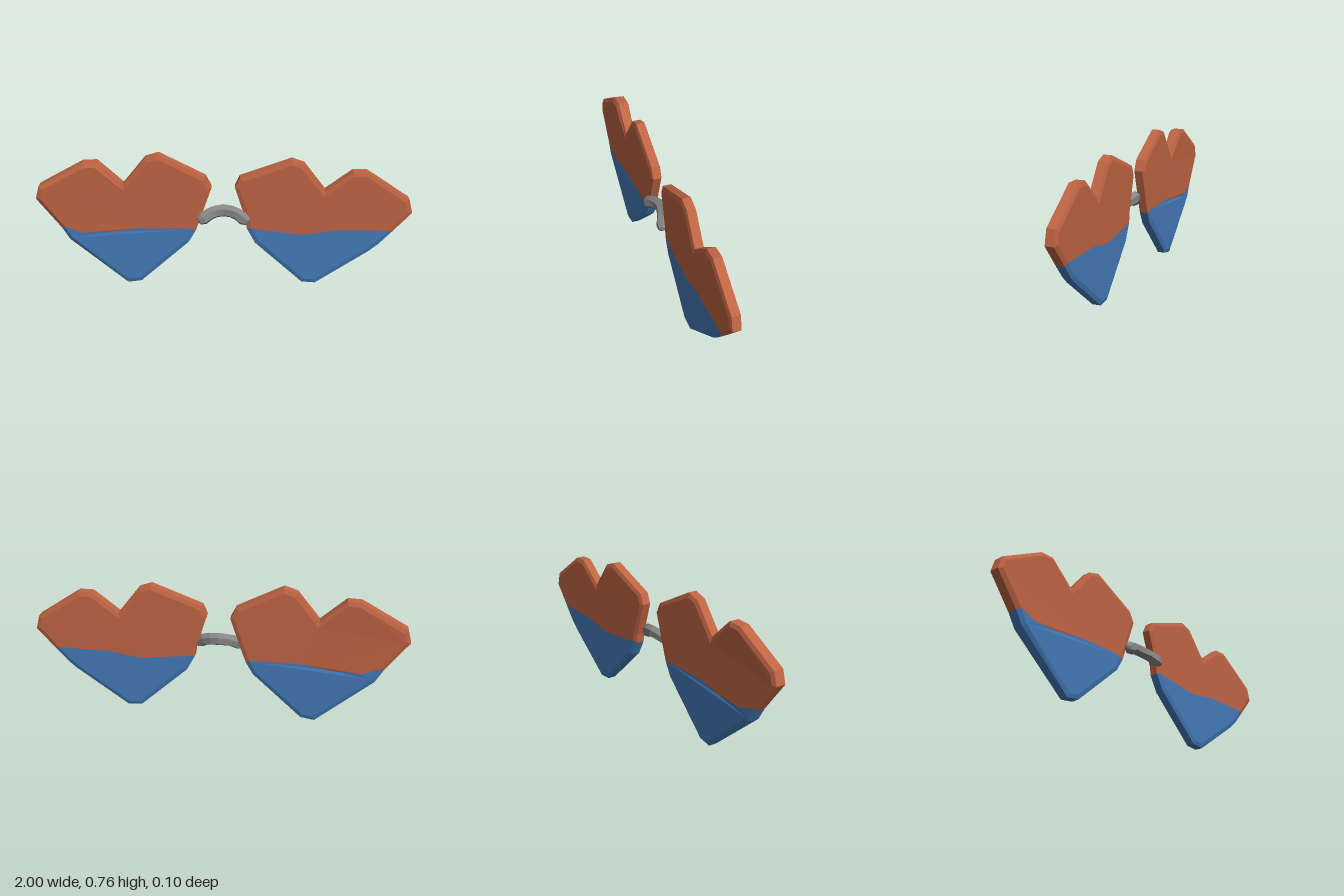
import * as THREE from 'three';

const orange = new THREE.MeshStandardMaterial({ color: 0xbf6443 });
orange.name = 'terracotta';
const blue = new THREE.MeshStandardMaterial({ color: 0x447ab8 });
blue.name = 'blue';
const grey = new THREE.MeshStandardMaterial({ color: 0x868686 });
grey.name = 'grey';

// Unindexed triangles give faceted normals
function facetedMesh(triangles, material, name) {
  const geometry = new THREE.BufferGeometry().setFromPoints(triangles);
  geometry.computeVertexNormals();
  const mesh = new THREE.Mesh(geometry, material);
  mesh.name = name;
  return mesh;
}

const quad = (out, a, b, c, d) => out.push(a, b, c, a, c, d);

// Mitred inset of a counter-clockwise outline
function insetOutline(points, amount) {
  const n = points.length;
  const normal = (a, b) => new THREE.Vector2(a.y - b.y, b.x - a.x).normalize();
  return points.map((p, i) => {
    const n1 = normal(points[(i + n - 1) % n], p);
    const n2 = normal(p, points[(i + 1) % n]);
    return n1.clone().add(n2).multiplyScalar(amount / (1 + n1.dot(n2))).add(p);
  });
}

// One colour of a bevelled heart plate: rim strip plus front and back faces
function platePart(outer, inner, seam, swell, material, name) {
  const out = [];
  const at = (p, z) => new THREE.Vector3(p.x, p.y, z);
  const front = p => at(p, 0.014 + 0.006 * swell(p));
  const back = p => at(p, -0.046 - 0.008 * swell(p));
  const rings = [
    inner.map(front),
    outer.map(p => at(p, 0.007)),
    outer.map(p => at(p, -0.038 - 0.008 * swell(p))),
    inner.map(back),
  ];
  for (let r = 0; r < 3; r++)
    for (let i = 0; i < outer.length - 1; i++)
      quad(out, rings[r][i], rings[r + 1][i], rings[r + 1][i + 1], rings[r][i + 1]);
  const face = [...inner, ...seam];
  for (const [a, b, c] of THREE.ShapeUtils.triangulateShape(face, [])) {
    out.push(front(face[a]), front(face[b]), front(face[c]));
    out.push(back(face[a]), back(face[c]), back(face[b]));
  }
  return facetedMesh(out, material, name);
}

// lower runs left to right under the seam, upper returns right to left above it
function heart(name, lower, upper, seam, swell) {
  const vec = list => list.map(([x, y]) => new THREE.Vector2(x, y));
  const outer = vec([...lower, ...upper]);
  const inner = insetOutline(outer, 0.022);
  const line = vec(seam);
  const k = lower.length - 1;
  const low = a => a.slice(0, k + 1);
  const high = a => [...a.slice(k), a[0]];
  const group = new THREE.Group();
  group.name = name;
  group.add(
    platePart(low(outer), low(inner), [...line].reverse(), swell, blue, 'lowerHalf'),
    platePart(high(outer), high(inner), line, swell, orange, 'upperHalf'),
  );
  return group;
}

// Six-sided arched bar with rounded ends
function bridge() {
  const half = [ // x, y, z, radius
    [0.136, 0.394, 0.032, 0], [0.13, 0.397, 0.029, 0.022], [0.108, 0.408, 0.022, 0.035],
    [0.075, 0.43, 0.006, 0.035], [0.04, 0.44, -0.006, 0.035],
  ];
  const path = [
    ...half.map(([x, ...rest]) => [-x, ...rest]),
    [0, 0.444, -0.012, 0.036],
    ...[...half].reverse(),
  ];
  const centres = path.map(([x, y, z]) => new THREE.Vector3(x, y, z));
  const rings = path.map(([, , , radius], i) => {
    const tangent = centres[Math.min(i + 1, path.length - 1)].clone()
      .sub(centres[Math.max(i - 1, 0)]).normalize();
    const side = new THREE.Vector3(0, 0, 1).addScaledVector(tangent, -tangent.z).normalize();
    const up = side.clone().cross(tangent);
    return Array.from({ length: 6 }, (_, j) => {
      const a = j * Math.PI / 3 + Math.PI / 6;
      return centres[i].clone()
        .addScaledVector(side, radius * 0.85 * Math.cos(a))
        .addScaledVector(up, radius * Math.sin(a));
    });
  });
  const out = [];
  for (let i = 0; i < rings.length - 1; i++)
    for (let j = 0; j < 6; j++) {
      const k = (j + 1) % 6;
      quad(out, rings[i][j], rings[i + 1][j], rings[i + 1][k], rings[i][k]);
    }
  // Orient the surface outwards, whichever way the rings wind
  const mid = rings[5][0].clone().sub(centres[5]);
  const t = 5 * 36;
  const n = new THREE.Triangle(out[t], out[t + 1], out[t + 2]).getNormal(new THREE.Vector3());
  if (n.dot(mid) < 0)
    for (let i = 0; i < out.length; i += 3) [out[i + 1], out[i + 2]] = [out[i + 2], out[i + 1]];
  return facetedMesh(out, grey, 'bridge');
}

export function createModel() {
  const group = new THREE.Group();
  group.name = 'heartGlasses';
  group.add(
    heart('rightHeart',
      [[-0.875, 0.34], [-0.835, 0.27], [-0.53, 0.003], [-0.455, 0.015], [-0.19, 0.26], [-0.15, 0.33]],
      [[-0.125, 0.4], [-0.065, 0.58], [-0.095, 0.64], [-0.34, 0.767], [-0.41, 0.745], [-0.53, 0.595],
        [-0.665, 0.718], [-0.74, 0.715], [-0.98, 0.58], [-1, 0.51]],
      [[-0.765, 0.315], [-0.6, 0.32], [-0.46, 0.343], [-0.2, 0.345]],
      p => (p.x < -0.62 ? 1 : 0)),
    heart('leftHeart',
      [[0.125, 0.345], [0.17, 0.26], [0.43, 0.02], [0.505, 0.015], [0.79, 0.22], [0.835, 0.26], [0.897, 0.33]],
      [[1, 0.45], [0.98, 0.525], [0.75, 0.68], [0.675, 0.68], [0.535, 0.57], [0.42, 0.72],
        [0.355, 0.742], [0.085, 0.64], [0.06, 0.585], [0.118, 0.4]],
      [[0.17, 0.345], [0.43, 0.315], [0.6, 0.343], [0.83, 0.345]],
      () => 0),
    bridge(),
  );
  return group;
}
